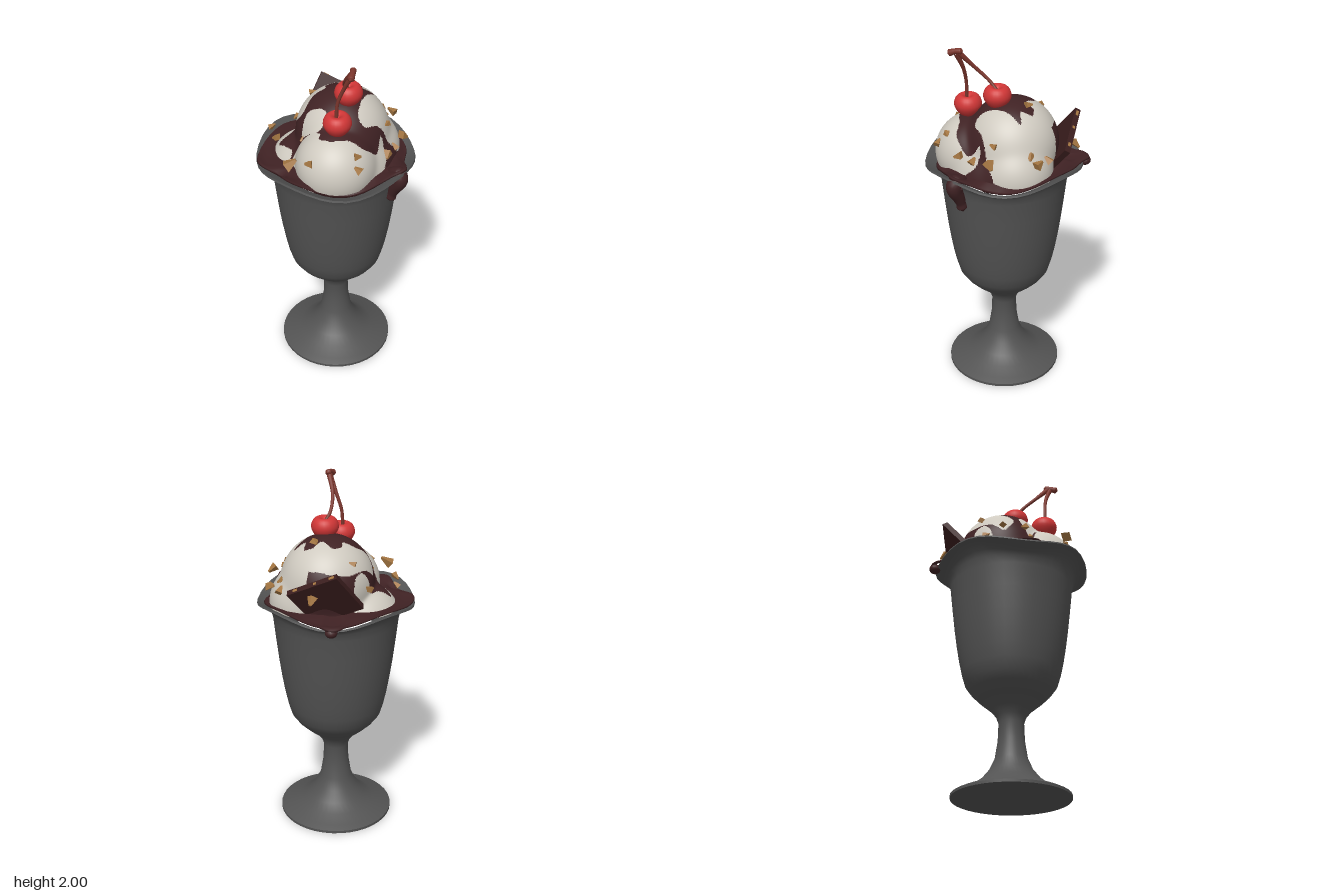
import * as THREE from 'three';
import { toCreasedNormals } from 'three/addons/utils/BufferGeometryUtils.js';

const mat = (name, color) => {
  const m = new THREE.MeshStandardMaterial({ color });
  m.name = name;
  return m;
};
const V = (x, y, z) => new THREE.Vector3(x, y, z);
const { lerp, smoothstep } = THREE.MathUtils;

// Surface of stacked closed rings; pick(centre) chooses a material index per cell
function loft(rows, cols, fn, pick) {
  const pos = [], sets = [[], []];
  for (let i = 0; i <= rows; i++)
    for (let j = 0; j < cols; j++) pos.push(...fn(i, j).toArray());
  const at = (i, j) => i * cols + (j % cols);
  for (let i = 0; i < rows; i++)
    for (let j = 0; j < cols; j++) {
      const a = at(i, j), b = at(i + 1, j), c = at(i, j + 1), d = at(i + 1, j + 1);
      const mid = [0, 1, 2].map(k => (pos[b * 3 + k] + pos[c * 3 + k]) / 2);
      sets[pick ? pick(mid) : 0].push(a, b, c, b, d, c);
    }
  const g = new THREE.BufferGeometry();
  g.setAttribute('position', new THREE.Float32BufferAttribute(pos, 3));
  g.setIndex(sets[0].concat(sets[1]));
  g.computeVertexNormals();
  if (pick) {
    g.addGroup(0, sets[0].length, 0);
    g.addGroup(sets[0].length, sets[1].length, 1);
  }
  return g;
}

// Round tube whose radius changes along the path
function taperTube(points, radii, rows = 24, cols = 14) {
  const curve = new THREE.CatmullRomCurve3(points);
  const f = curve.computeFrenetFrames(rows);
  return loft(rows, cols, (i, j) => {
    const u = i / rows, s = u * (radii.length - 1), k = Math.min(Math.floor(s), radii.length - 2);
    const r = lerp(radii[k], radii[k + 1], s - k), a = j / cols * Math.PI * 2;
    return curve.getPoint(u).addScaledVector(f.normals[i], r * Math.cos(a))
      .addScaledVector(f.binormals[i], -r * Math.sin(a));
  });
}

// Rim wave, growing towards the lip
const wave = (x, y, z) => .022 * smoothstep(y, 1.24, 1.345) * Math.cos(4 * Math.atan2(z, x));

// Inside of the glass near the rim: radius, height
const INSIDE = [[.31, 1.1], [.338, 1.24], [.362, 1.315], [.4, 1.337], [.432, 1.352]];
function insideHeight(r) {
  const k = Math.max(1, INSIDE.findIndex(p => p[0] > r));
  if (r >= .432) return 1.352;
  const [a, b] = [INSIDE[k - 1], INSIDE[k]];
  return lerp(a[1], b[1], Math.max(0, (r - a[0]) / (b[0] - a[0])));
}

// Scoops: centre x, y, z and radius
const SCOOPS = [[.06, 1.46, 0, .255], [-.13, 1.38, .1, .215], [.15, 1.34, .07, .205], [-.07, 1.23, -.14, .215],
  [.01, 1.27, .03, .295]];

// Bare ice cream areas seen from above (x, z), the rest is sauce
const backPatch = [[-.3, -.14], [-.27, -.28], [-.18, -.4], [-.08, -.42], [.06, -.42], [.1, -.26], [.04, -.235],
  [-.05, -.24], [-.1, -.235], [-.17, -.26], [-.19, -.2], [-.21, -.135]];
const upperPatch = [[-.11, -.14], [-.09, -.2], [-.01, -.225], [.11, -.23], [.2, -.18], [.26, -.1], [.28, -.04],
  [.19, -.03], [.13, -.035], [.12, -.11], [.07, -.125], [.04, -.1], [-.02, -.135]];
const rightPatch = [[.17, .05], [.215, .01], [.19, -.04], [.25, -.08], [.33, -.09], [.42, -.02], [.42, .1],
  [.37, .2], [.27, .265], [.17, .27], [.06, .23], [-.02, .2], [-.02, .165], [.04, .13], [.13, .105], [.215, .095]];
const smallPatch = [[-.18, -.09], [-.12, -.1], [-.1, -.05], [-.1, .01], [-.13, .03], [-.18, .02], [-.19, -.04]];
const leftPatch = [[-.35, -.1], [-.22, -.11], [-.2, -.06], [-.19, .04], [-.22, .06], [-.21, .13], [-.14, .2],
  [-.1, .26], [-.01, .275], [.07, .25], [.07, .285], [-.03, .33], [-.18, .36], [-.33, .29], [-.42, .11], [-.41, -.02]];
const PATCHES = [backPatch, upperPatch, rightPatch, smallPatch, leftPatch].map(p =>
  new THREE.CatmullRomCurve3(p.map(([x, z]) => V(x, 0, z)), true).getPoints(90));

function bare([x, , z]) {
  return PATCHES.some(p => {
    let inside = false;
    for (let i = 0, j = p.length - 1; i < p.length; j = i++)
      if ((p[i].z > z) !== (p[j].z > z) &&
        x < (p[j].x - p[i].x) * (z - p[i].z) / (p[j].z - p[i].z) + p[i].x) inside = !inside;
    return inside;
  }) ? 1 : 0;
}

// Distance from the middle of the glass to the blended scoops
function scoopReach(d) {
  let sum = 0;
  for (const [x, y, z, r] of SCOOPS) {
    const c = V(x, y - 1.3, z), b = c.dot(d);
    sum += Math.pow(b + Math.sqrt(b * b - c.lengthSq() + r * r), 26);
  }
  return Math.pow(sum, 1 / 26);
}

// Height of the scoops or the sauce pool at a point seen from above
const topHeight = (x, z) => Math.max(1.355, ...SCOOPS.map(([a, y, c, r]) =>
  y + Math.sqrt(Math.max(0, r * r - (x - a) ** 2 - (z - c) ** 2))));

export function createModel() {
  const root = new THREE.Group();
  const glassMat = mat('dark glass', 0x535353), cream = mat('ice cream', 0xcfcac0);
  const sauce = mat('chocolate sauce', 0x402224), wafer = mat('dark chocolate', 0x3a1d1d);
  const red = mat('cherry red', 0xd03636), stemMat = mat('stem brown', 0x7a352c), nutMat = mat('nut', 0xa47642);
  const add = (name, geo, m, parent = root) => {
    const mesh = new THREE.Mesh(geo, m);
    mesh.name = name;
    parent.add(mesh);
    return mesh;
  };

  // Footed glass with a wavy rim
  const profile = [[0, 0], [.325, 0], [.325, .015], [.29, .032], [.22, .06], [.165, .1], [.12, .155], [.09, .22],
    [.074, .32], [.07, .42], [.083, .46], [.115, .5], [.18, .555], [.225, .6], [.257, .645], [.276, .71], [.291, .78],
    [.306, .87], [.32, .97], [.335, 1.1], [.349, 1.23], [.357, 1.275], [.372, 1.303], [.402, 1.324], [.436, 1.342],
    ...INSIDE.slice().reverse()].map(p => new THREE.Vector2(...p));
  const lathe = new THREE.LatheGeometry(profile, 40);
  const lp = lathe.attributes.position;
  for (let i = 0; i < lp.count; i++) {
    const x = lp.getX(i), y = lp.getY(i), z = lp.getZ(i);
    lp.setY(i, y + wave(x, y, z));
  }
  add('sundaeGlass', toCreasedNormals(lathe, .62), glassMat);

  // Scoops, coated in sauce except for the bare patches
  const R = 120, C = 260;
  add('iceCreamScoops', loft(R, C, (i, j) => {
    const e = lerp(.06, Math.PI / 2, i / R), a = j / C * Math.PI * 2;
    const d = V(Math.cos(a) * Math.cos(e), Math.sin(e), Math.sin(a) * Math.cos(e));
    return d.multiplyScalar(scoopReach(d)).add(V(0, 1.3, 0));
  }, bare), [sauce, cream]);

  // Sauce pool lying on the inside of the rim: scale, lift above the glass
  const shore = new THREE.CatmullRomCurve3([[.39, 0], [.37, .13], [.3, .26], [.17, .34], [.1, .4], [.04, .435],
    [-.03, .4], [-.1, .365], [-.2, .32], [-.3, .22], [-.37, .1], [-.4, 0], [-.355, -.12], [-.34, -.27], [-.2, -.36],
    [0, -.39], [.2, -.35], [.3, -.355], [.335, -.33], [.345, -.24], [.385, -.12]].map(([x, z]) => V(x, 0, z)), true).getPoints(96);
  const section = [[.94, .012], [.97, .008], [1, .007], [.99, .016], [.95, .021], [.88, .024], [.8, 0], [.45, 0]];
  add('saucePool', loft(section.length - 1, 96, (i, j) => {
    const p = shore[j], [s, lift] = section[i], x = p.x * s, z = p.z * s;
    const glass = insideHeight(Math.hypot(x, z));
    const y = i < 5 ? glass + lift : Math.max(1.35, glass + lift);
    return V(x, y + wave(x, glass, z), z);
  }), sauce);

  // Drips over the rim
  add('frontDrip', taperTube([V(.035, 1.33, .3), V(.035, 1.345, .36), V(.033, 1.342, .4), V(.03, 1.305, .405),
    V(.03, 1.255, .378), V(.03, 1.21, .36), V(.03, 1.18, .352), V(.03, 1.15, .345)],
    [.005, .03, .046, .043, .035, .027, .03, .001], 36, 20), sauce);
  const backDrip = add('backDrip', new THREE.SphereGeometry(.03, 16, 12), sauce);
  backDrip.position.set(.312, 1.322, -.318);
  backDrip.scale.set(1.1, .9, 1.1);

  // Chocolate slab leaning outward
  const u = V(.14, -.13, .24).normalize(), w = V(.18, .22, 0);
  w.addScaledVector(u, -w.dot(u)).normalize();
  const slab = new THREE.Group();
  slab.name = 'chocolateSlab';
  root.add(slab);
  slab.quaternion.setFromRotationMatrix(new THREE.Matrix4().makeBasis(u, w, u.clone().cross(w)));
  slab.position.set(.24, 1.448, -.19);
  add('slabBody', new THREE.BoxGeometry(.3, .28, .032), wafer, slab);
  // Crumbs showing along its upper edge
  [[-.12, .03], [-.02, .016], [.1, .024]].forEach(([x, len]) =>
    add('slabCrumb', new THREE.BoxGeometry(len, .008, .014), nutMat, slab).position.set(x, .139, 0));

  // Cherries with dimples and joined stems
  const cherryProfile = new THREE.SplineCurve([[0, -.068], [.045, -.053], [.074, -.008], [.07, .03], [.048, .054],
    [.024, .05], [.008, .035], [0, .03]].map(p => new THREE.Vector2(...p))).getPoints(24);
  cherryProfile.forEach(p => { p.x = Math.max(0, p.x); });
  const cherryGeo = new THREE.LatheGeometry(cherryProfile, 24);
  const cherries = new THREE.Group();
  cherries.name = 'cherries';
  root.add(cherries);
  add('rightCherry', cherryGeo, red, cherries).position.set(-.15, 1.655, .125);
  add('leftCherry', cherryGeo, red, cherries).position.set(.018, 1.735, .07);
  add('rightStem', taperTube([V(-.16, 1.68, .125), V(-.155, 1.78, .13), V(-.143, 1.87, .16), V(-.14, 1.975, .215)],
    [.01, .009, .01, .015]), stemMat, cherries);
  add('leftStem', taperTube([V(.02, 1.76, .07), V(-.03, 1.81, .08), V(-.09, 1.885, .13), V(-.13, 1.975, .205)],
    [.01, .009, .01, .015]), stemMat, cherries);
  add('stemKnot', taperTube([V(-.187, 1.965, .23), V(-.175, 1.968, .227), V(-.145, 1.98, .215), V(-.118, 1.984, .2),
    V(-.108, 1.984, .195)], [.002, .019, .015, .017, .002]), stemMat, cherries);

  // Scattered nut pieces: x, z, size
  const nutGeo = new THREE.CylinderGeometry(.006, .023, .038, 4).toNonIndexed();
  nutGeo.computeVertexNormals();
  [[-.155, -.315, 1], [-.235, -.23, 1.1], [-.01, -.27, 1], [.07, -.21, 1], [-.185, -.08, 1], [-.37, -.01, 1.7],
    [-.325, .07, 1.1], [.165, -.02, 1.1], [.36, .04, 1.2], [.3, .11, 1.1], [.365, .11, 1.3], [.145, .23, 1],
    [.2, .31, 1.4], [.09, .325, 1.1], [-.005, .345, 1.2], [-.165, .27, 1], [-.205, .3, 1.1],
    [.345, -.2, 1.3]].forEach(([x, z, s], i) => {
    const nut = add('nutPiece', nutGeo, nutMat);
    const y = topHeight(x, z) + .01;
    nut.position.set(x, y, z);
    nut.lookAt(x * 2, y * 2 - 1.05, z * 2);
    nut.rotateZ(i * 2.4);
    nut.scale.set(s, s, s * .8);
  });
  return root;
}
